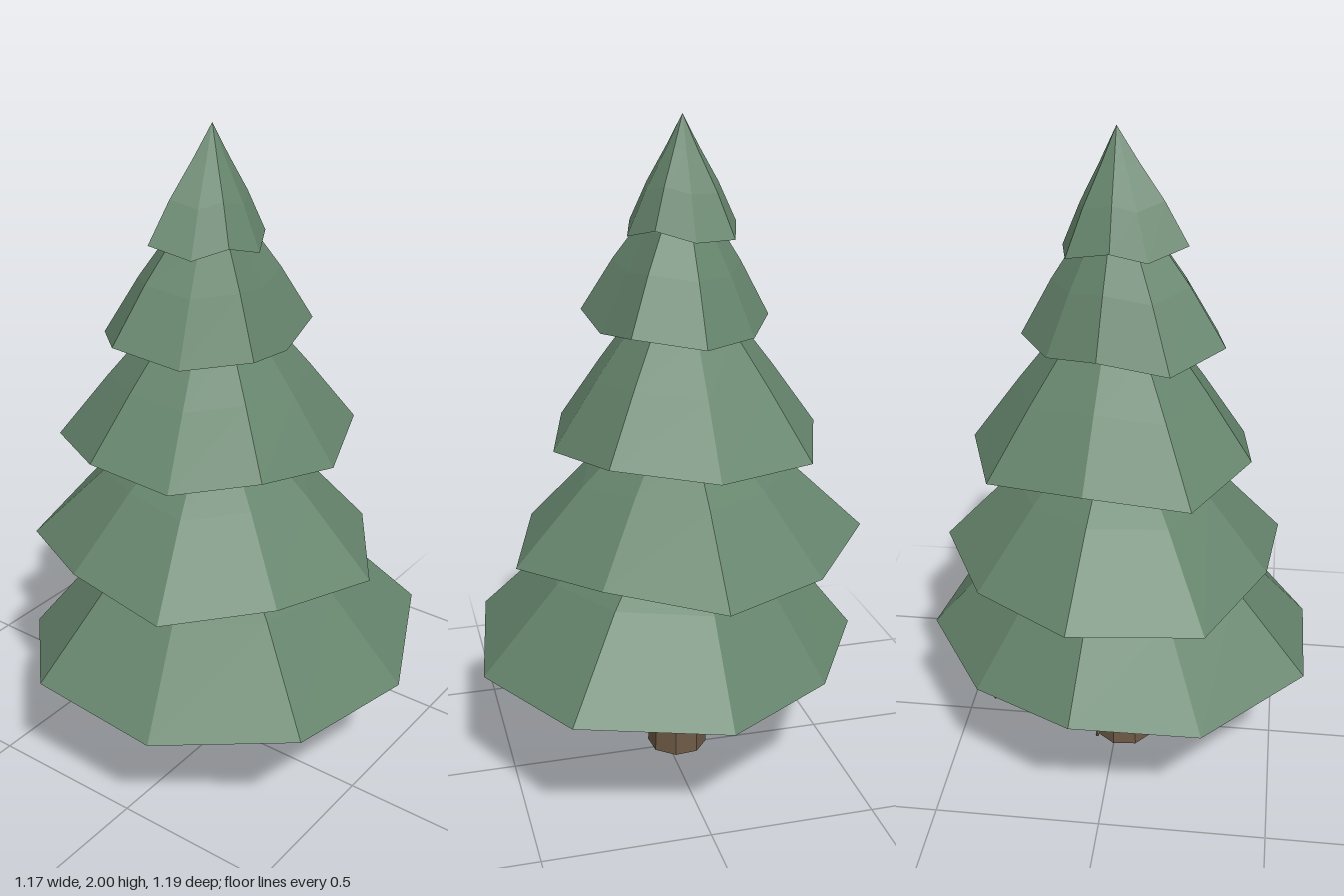
import * as THREE from 'three';

const CZ = -0.04; // the tree axis sits slightly behind the middle

// Each tier: rim corners [x, z] clockwise from the right, rim height,
// lift of the odd corners, and rings above as [radius share, rise]
const TIERS = [
  { y: 0.382, lift: 0.035, top: 0.52, rings: [[0.63, 0.26], [0.36, 0.4]],
    rim: [[0.587, -0.04], [0.5, 0.4], [0.085, 0.592], [-0.355, 0.53], [-0.588, 0.165], [-0.588, -0.245], [-0.3, -0.525], [0.075, -0.572], [0.38, -0.38]] },
  { y: 0.717, lift: 0.032, top: 0.47, rings: [[0.6, 0.225], [0.32, 0.36]],
    rim: [[0.525, -0.04], [0.355, 0.28], [0.07, 0.48], [-0.265, 0.38], [-0.49, 0.13], [-0.46, -0.205], [-0.3, -0.51], [0.075, -0.597], [0.365, -0.365]] },
  { y: 1.062, lift: 0.032, top: 0.45, rings: [[0.67, 0.195], [0.4, 0.345]],
    rim: [[0.427, -0.04], [0.325, 0.25], [0.045, 0.355], [-0.21, 0.285], [-0.37, 0.08], [-0.4, -0.175], [-0.25, -0.43], [0.045, -0.44], [0.33, -0.335]] },
  { y: 1.396, lift: 0.03, top: 0.42, rings: [[0.67, 0.17], [0.42, 0.28]],
    rim: [[0.275, -0.04], [0.215, 0.16], [0.017, 0.205], [-0.17, 0.225], [-0.28, 0.055], [-0.315, -0.15], [-0.175, -0.3], [0.025, -0.295], [0.175, -0.205]] },
  { y: 1.667, lift: 0.03, top: 0.333, rings: [[0.66, 0.125], [0.3, 0.235]],
    rim: [[0.15, -0.04], [0.105, 0.065], [0, 0.12], [-0.1, 0.09], [-0.17, 0.015], [-0.205, -0.105], [-0.1, -0.175], [0, -0.2], [0.125, -0.16]] },
];

// Builds one closed skirt of foliage from its rings
function tierGeometry({ y, lift, top, rings, rim }) {
  const n = rim.length;
  const levels = [[1, 0], ...rings].map(([s, rise]) =>
    rim.map(([x, z], k) => [x * s, y + rise + (k % 2) * lift * s, CZ + (z - CZ) * s]));
  const apex = [0, y + top, CZ];
  const under = [0, y + 0.045, CZ];
  const pos = [];
  const tri = (...corners) => corners.forEach((c) => pos.push(...c));
  for (let k = 0; k < n; k++) {
    const j = (k + 1) % n;
    tri(under, levels[0][k], levels[0][j]);
    for (let i = 0; i < levels.length - 1; i++) {
      const lo = levels[i], hi = levels[i + 1];
      tri(lo[k], hi[k], lo[j]);
      tri(lo[j], hi[k], hi[j]);
    }
    const last = levels[levels.length - 1];
    tri(last[k], apex, last[j]);
  }
  const geo = new THREE.BufferGeometry();
  geo.setAttribute('position', new THREE.Float32BufferAttribute(pos, 3));
  geo.computeVertexNormals();
  return geo;
}

export function createModel() {
  const tree = new THREE.Group();
  tree.name = 'pineTree';
  const foliage = new THREE.MeshStandardMaterial({ color: 0x66856d, flatShading: true });
  foliage.name = 'foliage green';
  const bark = new THREE.MeshStandardMaterial({ color: 0x6e5a46, flatShading: true });
  bark.name = 'bark brown';

  // Foliage tiers
  TIERS.forEach((tier, i) => {
    const mesh = new THREE.Mesh(tierGeometry(tier), foliage);
    mesh.name = `foliageTier${i + 1}`;
    tree.add(mesh);
  });

  // Trunk, leaning a little
  const trunkGeo = new THREE.CylinderGeometry(0.072, 0.094, 0.5, 8);
  trunkGeo.rotateY(Math.PI / 8 + 0.1);
  trunkGeo.translate(0, 0.255, 0);
  const p = trunkGeo.attributes.position;
  for (let i = 0; i < p.count; i++) p.setX(i, p.getX(i) + p.getY(i) * 0.02);
  const trunk = new THREE.Mesh(trunkGeo, bark);
  trunk.name = 'trunk';
  trunk.position.set(-0.026, 0, -0.035);
  tree.add(trunk);

  // Bare branches under the lowest tier
  const up = new THREE.Vector3(0, 1, 0);
  for (let k = 0; k < 8; k++) {
    const a = (k * Math.PI) / 4;
    const base = new THREE.Vector3(0.04 * Math.cos(a), 0.39, CZ + 0.04 * Math.sin(a));
    const tip = new THREE.Vector3(0.465 * Math.cos(a), 0.348, CZ + 0.465 * Math.sin(a));
    const dir = tip.clone().sub(base);
    const branch = new THREE.Mesh(new THREE.CylinderGeometry(0.005, 0.02, dir.length(), 5), bark);
    branch.name = `branch${k + 1}`;
    branch.position.copy(base).add(tip).multiplyScalar(0.5);
    branch.quaternion.setFromUnitVectors(up, dir.normalize());
    tree.add(branch);
  }
  return tree;
}
